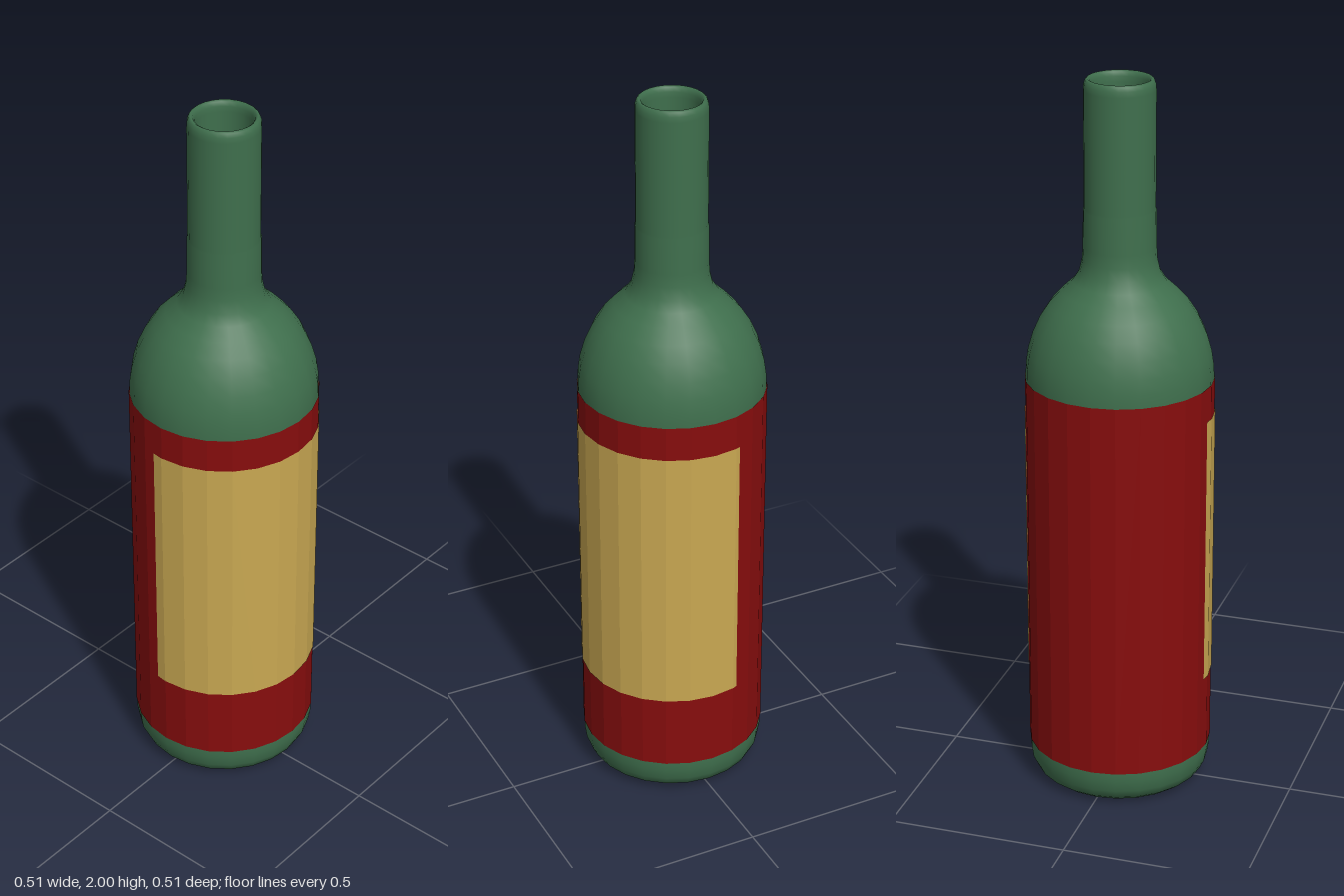
import * as THREE from 'three';

const SEGMENTS = 24;
const STEP = (Math.PI * 2) / SEGMENTS;
const rad = THREE.MathUtils.degToRad;

// Curved sheet that follows the facets of the bottle between two angles (0 = front, +90 = +x).
function wrapSheet(radius, y0, y1, from, to) {
  const angles = [from];
  for (let k = Math.floor(from / STEP) + 1; k * STEP < to; k++) angles.push(k * STEP);
  angles.push(to);
  const positions = [];
  const index = [];
  angles.forEach((a, i) => {
    const offset = a - (Math.floor(a / STEP) + 0.5) * STEP;
    const r = (radius * Math.cos(STEP / 2)) / Math.cos(offset);
    for (const y of [y0, y1]) positions.push(r * Math.sin(a), y, r * Math.cos(a));
    if (i > 0) {
      const p = (i - 1) * 2;
      index.push(p, p + 2, p + 1, p + 2, p + 3, p + 1);
    }
  });
  const indexed = new THREE.BufferGeometry();
  indexed.setAttribute('position', new THREE.Float32BufferAttribute(positions, 3));
  indexed.setIndex(index);
  const geometry = indexed.toNonIndexed();
  geometry.computeVertexNormals();
  return geometry;
}

export function createModel() {
  const model = new THREE.Group();
  model.name = 'bottle';

  const glass = new THREE.MeshStandardMaterial({ name: 'green glass', color: 0x3f6f4d });
  const red = new THREE.MeshStandardMaterial({ name: 'red paper', color: 0x870d0d, flatShading: true, side: THREE.DoubleSide });
  const cream = new THREE.MeshStandardMaterial({ name: 'gold paper', color: 0xc9a852, flatShading: true, side: THREE.DoubleSide });

  const add = (name, geometry, material) => {
    const mesh = new THREE.Mesh(geometry, material);
    mesh.name = name;
    model.add(mesh);
  };

  // Glass: hollow base, body, shoulder, neck, rim and the inside of the mouth
  const profile = [
    [0, 0.07], [0.06, 0.063], [0.11, 0.042], [0.15, 0.015], [0.172, 0.003], [0.19, 0],
    [0.215, 0.006], [0.236, 0.022], [0.249, 0.048], [0.254, 0.08], [0.254, 0.1],
    [0.254, 1.18], [0.252, 1.22], [0.246, 1.26], [0.233, 1.305], [0.213, 1.35],
    [0.187, 1.39], [0.155, 1.425], [0.125, 1.453], [0.108, 1.48], [0.1, 1.515],
    [0.098, 1.55], [0.097, 1.65], [0.095, 1.655], [0.095, 1.97], [0.094, 1.985],
    [0.09, 1.996], [0.085, 2], [0.079, 1.996], [0.075, 1.985], [0.075, 1.97],
    [0.075, 1.652], [0.074, 1.65], [0.07, 1.65], [0, 1.65],
  ].map(([x, y]) => new THREE.Vector2(x, y));
  add('glassBody', new THREE.LatheGeometry(profile, SEGMENTS), glass);

  // Paper band all the way round
  const band = new THREE.CylinderGeometry(0.2555, 0.2555, 1.08, SEGMENTS, 1, true);
  band.translate(0, 0.645, 0);
  add('paperBand', band, red);

  // Blank label around the +x side
  add('sideLabel', wrapSheet(0.2575, 0.32, 1.09, rad(-6.7), rad(198)), cream);

  return model;
}
